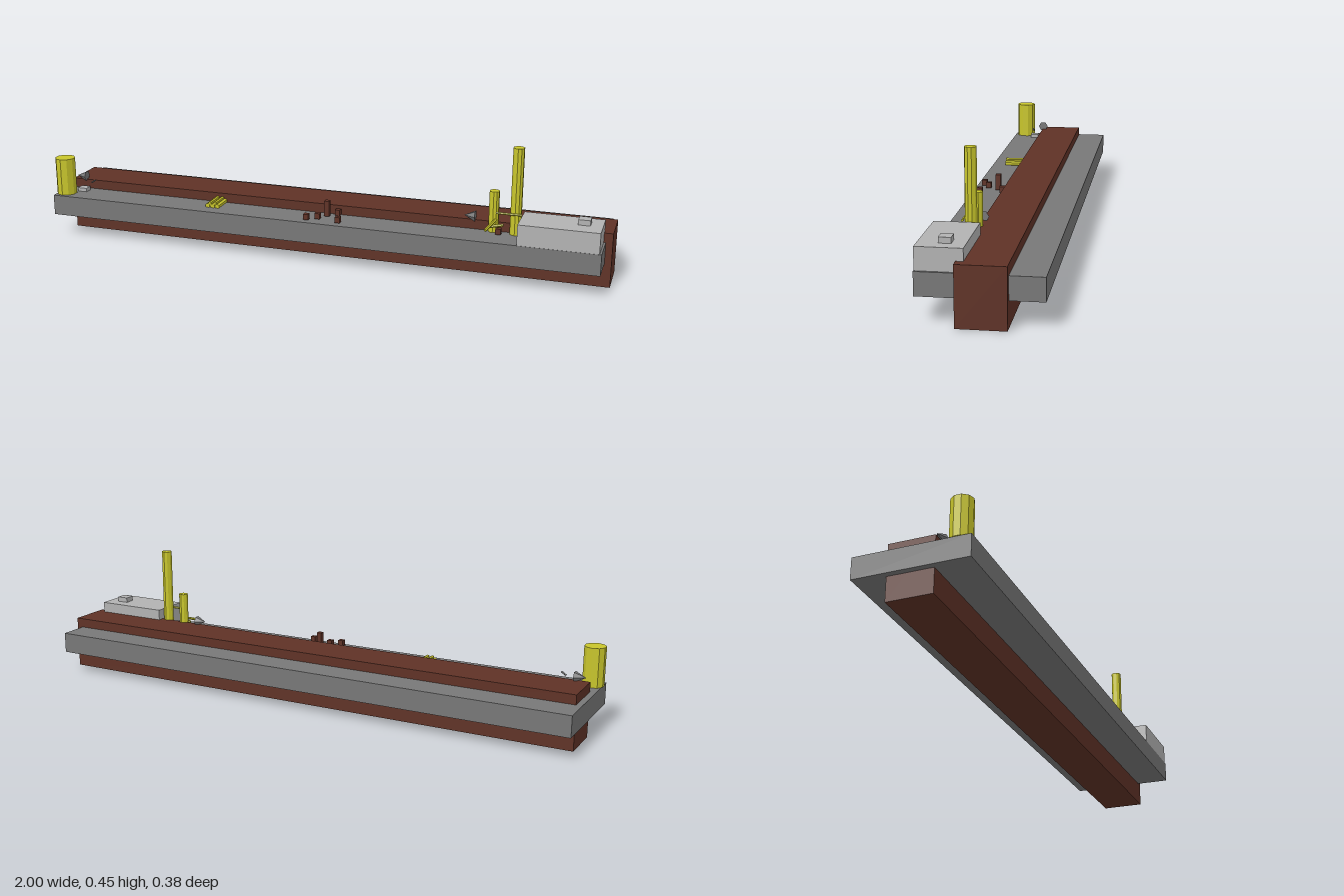
import * as THREE from 'three';

const material = (color) => new THREE.MeshStandardMaterial({ color, flatShading: true });

export function createModel() {
  const model = new THREE.Group();
  const brown = material(0x5f3226), dark = material(0x777777);
  const light = material(0xb2b2b2), yellow = material(0xc8c52b);

  const add = (name, geometry, mat, x, y, z) => {
    const mesh = new THREE.Mesh(geometry, mat);
    mesh.name = name;
    mesh.position.set(x, y, z);
    model.add(mesh);
    return mesh;
  };
  // Box given by its minimum and maximum corners
  const box = (name, mat, [x0, y0, z0], [x1, y1, z1]) =>
    add(name, new THREE.BoxGeometry(x1 - x0, y1 - y0, z1 - z0), mat,
      (x0 + x1) / 2, (y0 + y1) / 2, (z0 + z1) / 2);
  const post = (name, x, z, r, top) =>
    add(name, new THREE.CylinderGeometry(r, r, top - 0.155, 10), yellow, x, (top + 0.155) / 2, z);
  // Thin rod between two points
  const rod = (name, mat, a, b, r) => {
    const start = new THREE.Vector3(...a), end = new THREE.Vector3(...b);
    const dir = end.clone().sub(start);
    const mid = start.add(end).multiplyScalar(0.5);
    const mesh = add(name, new THREE.CylinderGeometry(r, r, dir.length(), 6), mat, mid.x, mid.y, mid.z);
    mesh.quaternion.setFromUnitVectors(new THREE.Vector3(0, 1, 0), dir.normalize());
  };

  // Long central beam and the slab running through it
  box('beam', brown, [-0.975, 0, -0.083], [1, 0.188, 0.068]);
  box('slab', dark, [-0.995, 0.082, -0.188], [0.977, 0.155, 0.188]);

  // Low building with a roof block
  box('building', light, [0.705, 0.155, 0.045], [0.97, 0.226, 0.187]);
  box('roofBlock', light, [0.89, 0.226, 0.087], [0.93, 0.244, 0.125]);

  // Upright cylinders
  post('tank', -0.964, 0.143, 0.036, 0.289);
  post('tallChimney', 0.682, 0.077, 0.019, 0.453);
  post('shortChimney', 0.607, 0.071, 0.017, 0.297);

  // Ridged bundle lying across the deck
  for (const x of [-0.403, -0.385, -0.367])
    rod('bundleRod', yellow, [x, 0.161, 0.067], [x, 0.161, 0.14], 0.009);
  for (const x of [-0.394, -0.376])
    rod('bundleRod', yellow, [x, 0.171, 0.067], [x, 0.171, 0.14], 0.006);

  // Scattered crates, one stacked higher
  for (const [x, z] of [[-0.025, 0.16], [0.01, 0.14], [0.032, 0.102], [0.065, 0.083], [0.088, 0.158], [0.63, 0.103]])
    box('crate', brown, [x - 0.009, 0.158, z - 0.009], [x + 0.009, 0.178, z + 0.009]);
  box('stackedCrate', brown, [0.023, 0.178, 0.093], [0.041, 0.213, 0.111]);

  // Small pointed pieces beside the beam
  for (const [x, y] of [[0.525, 0.2], [-0.942, 0.2]]) {
    const cone = add('cone', new THREE.ConeGeometry(0.019, 0.038, 6), dark, x, y, 0.065);
    cone.rotation.z = Math.PI / 2;
  }
  box('smallBlock', light, [-0.935, 0.155, 0.085], [-0.9, 0.168, 0.115]);
  rod('smallPin', dark, [-0.885, 0.188, 0.1], [-0.868, 0.199, 0.1], 0.003);

  // Thin rods between the chimneys and the building
  rod('pipe', yellow, [0.62, 0.23, 0.1], [0.705, 0.23, 0.1], 0.004);
  rod('strut', yellow, [0.593, 0.18, 0.145], [0.615, 0.2, 0.085], 0.005);
  rod('strut', yellow, [0.6, 0.18, 0.102], [0.645, 0.19, 0.1], 0.005);

  return model;
}
